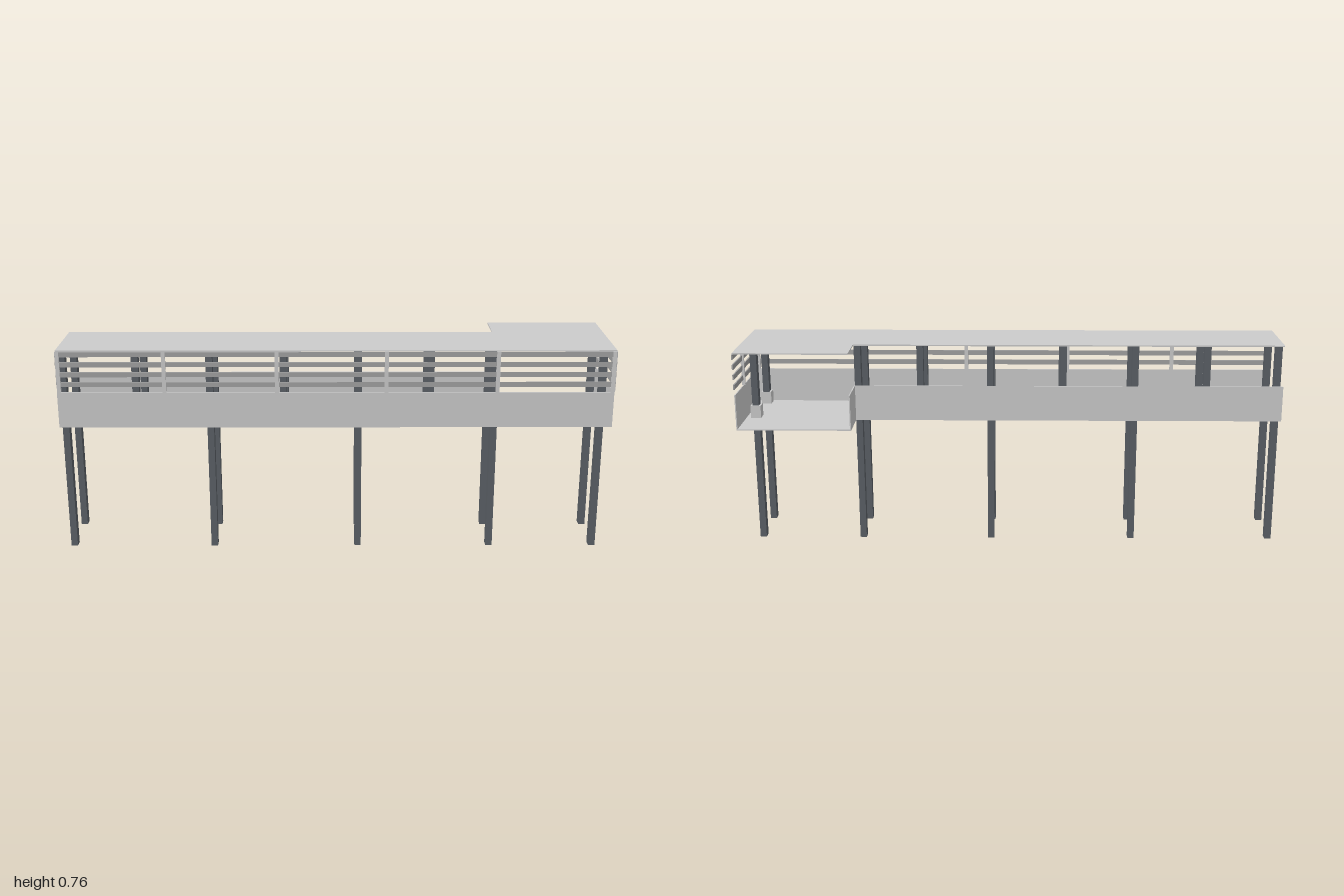
import * as THREE from 'three';

export function createModel() {
  const model = new THREE.Group();
  const grey = new THREE.MeshStandardMaterial({ color: 0xcccccc });
  const slatGrey = new THREE.MeshStandardMaterial({ color: 0xa2a2a2 });
  const steel = new THREE.MeshStandardMaterial({ color: 0x5b6066 });

  // Box given by its min and max corners
  function box(name, material, [x0, y0, z0], [x1, y1, z1]) {
    const mesh = new THREE.Mesh(new THREE.BoxGeometry(x1 - x0, y1 - y0, z1 - z0), material);
    mesh.position.set((x0 + x1) / 2, (y0 + y1) / 2, (z0 + z1) / 2);
    mesh.name = name;
    model.add(mesh);
  }

  // L-shaped slab: long walkway with a wider landing at the +x end
  function slab(name, y, thickness) {
    const shape = new THREE.Shape([
      [-0.997, -0.2], [0.997, -0.2], [0.997, 0.2], [0.583, 0.2], [0.583, 0.058], [-0.997, 0.058],
    ].map(([x, v]) => new THREE.Vector2(x, v)));
    const geometry = new THREE.ExtrudeGeometry(shape, { depth: thickness, bevelEnabled: false });
    geometry.rotateX(-Math.PI / 2); // shape v becomes -z
    const mesh = new THREE.Mesh(geometry, grey);
    mesh.position.y = y;
    mesh.name = name;
    model.add(mesh);
  }

  const deckY = 0.473, wallTop = 0.605, roofY = 0.755, t = 0.004;
  slab('deck', deckY, 0.004);
  slab('roof', roofY, 0.005);

  // Parapet walls; the -x end and the back of the landing stay open
  box('frontWall', grey, [-1, deckY, 0.199], [0.997, wallTop, 0.203]);
  box('endWall', grey, [0.993, deckY, -0.202], [0.997, wallTop, 0.203]);
  box('backWall', grey, [-1, deckY, -0.06], [0.583, wallTop, -0.06 + t]);
  box('landingReturnWall', grey, [0.581, deckY, -0.202], [0.581 + t, wallTop, -0.056]);

  // Horizontal slats above the front and end walls
  for (let i = 0; i < 4; i++) {
    const y = 0.634 + i * 0.037;
    box('frontSlat', slatGrey, [-1, y - 0.009, 0.198], [0.999, y + 0.009, 0.203]);
    box('endSlat', slatGrey, [0.994, y - 0.009, -0.202], [0.999, y + 0.009, 0.203]);
  }

  // Slender uprights carrying the slats
  for (const x of [-0.992, -0.615, -0.212, 0.18, 0.578, 0.99])
    box('frontUpright', grey, [x - 0.007, wallTop, 0.194], [x + 0.007, roofY, 0.204]);
  for (const z of [0.196, -0.052])
    box('endUpright', grey, [0.988, wallTop, z - 0.004], [1, roofY, z + 0.004]);

  // Two rows of posts; some run to the ground, the others stand on the deck
  const posts = [
    [-0.98, true], [-0.72, false], [-0.455, true], [-0.19, false],
    [0.08, true], [0.34, false], [0.571, true], [0.957, true],
  ];
  for (const [x, grounded] of posts) {
    for (const z of [0.171, -0.029]) {
      box('post', steel, [x - 0.012, grounded ? 0 : deckY, z - 0.0165], [x + 0.012, roofY, z + 0.0165]);
      box('postBase', grey, [x - 0.019, deckY + t, z - 0.021], [x + 0.019, deckY + 0.05, z + 0.021]);
    }
  }

  return model;
}
